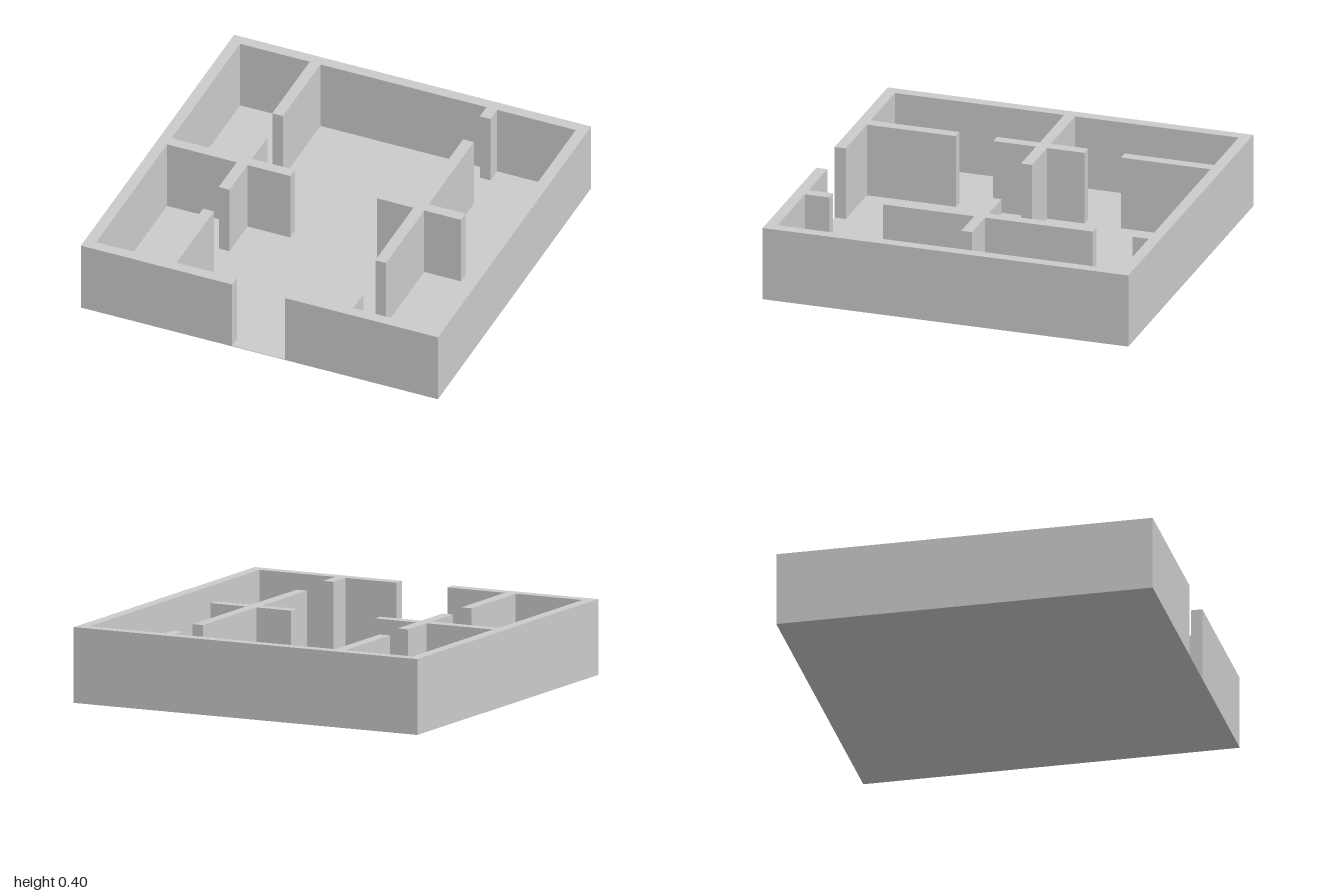
import * as THREE from 'three';

const HEIGHT = 0.396, FLOOR = 0.003;
const F = 0.993, I = 0.933;          // outer and inner depth of the shell
const W = 0.94;                      // inner half width
const L0 = -0.55, L1 = -0.49;        // left-hand partition faces (x)
const R0 = 0.44, R1 = 0.5;           // right-hand partition faces (x)
const C0 = -0.045, C1 = 0.014;       // cross partition faces (z)

const material = new THREE.MeshStandardMaterial({ color: 0xcccccc, flatShading: true });

// Raise a plan outline of [x, z] points from the floor to the wall tops
function raiseWalls(name, plan) {
  const shape = new THREE.Shape(plan.map(([x, z]) => new THREE.Vector2(x, -z)));
  const geometry = new THREE.ExtrudeGeometry(shape, { depth: HEIGHT - FLOOR, bevelEnabled: false });
  geometry.rotateX(-Math.PI / 2).translate(0, FLOOR, 0);
  const mesh = new THREE.Mesh(geometry, material);
  mesh.name = name;
  return mesh;
}

export function createModel() {
  const group = new THREE.Group();
  group.name = 'floorPlan';

  // Thin floor slab
  const floor = new THREE.Mesh(new THREE.BoxGeometry(2, FLOOR, 2 * F), material);
  floor.position.y = FLOOR / 2;
  floor.name = 'floor';
  group.add(floor);

  // Outer walls with the front doorway and every partition joined to them
  group.add(raiseWalls('outerWalls', [
    // outside, from one door jamb round to the other
    [0.142, F], [1, F], [1, -F], [-1, -F], [-1, F], [-0.153, F], [-0.153, I],
    // front stub
    [L1, I], [L1, 0.45], [L0, 0.45], [L0, I], [-W, I],
    // cross partition
    [-W, C1], [L0, C1], [L0, 0.247], [L1, 0.247], [L1, C1], [-0.25, C1],
    [-0.25, C0], [L1, C0], [L1, -0.248], [L0, -0.248], [L0, C0], [-W, C0],
    // back stubs
    [-W, -I], [L0, -I], [L0, -0.447], [L1, -0.447], [L1, -I],
    [R0, -I], [R0, -0.847], [R1, -0.847], [R1, -I],
    // short front stub
    [W, -I], [W, I], [R1, I], [R1, 0.8], [R0, 0.8], [R0, I], [0.142, I],
  ]));

  // Free-standing cross partition
  group.add(raiseWalls('crossPartition', [
    [R0, -0.63], [R0, C0], [0.237, C0], [0.237, C1], [R0, C1], [R0, 0.509],
    [R1, 0.509], [R1, C1], [0.706, C1], [0.706, C0], [R1, C0], [R1, -0.63],
  ]));

  return group;
}
